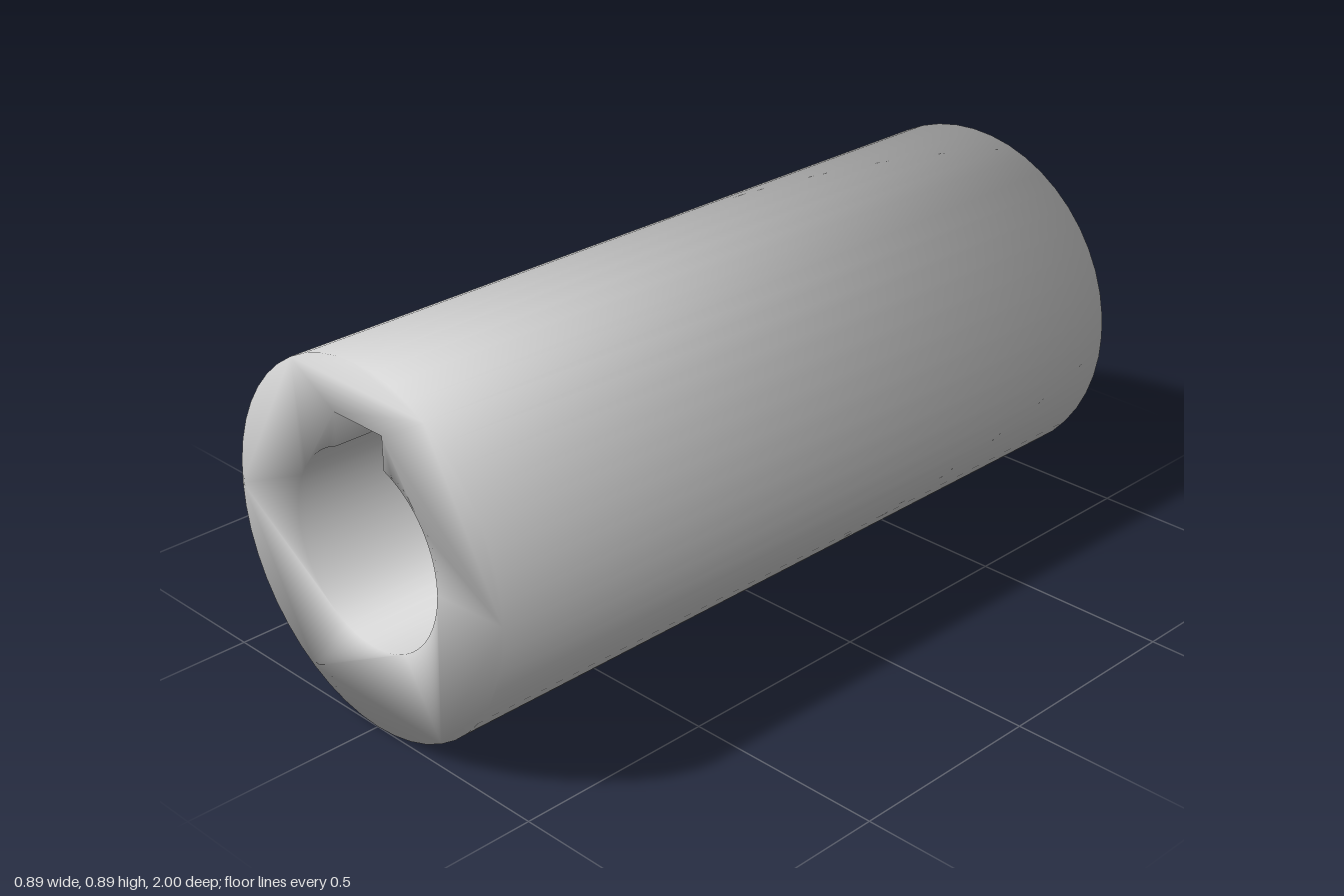
import * as THREE from 'three';
import { mergeGeometries, mergeVertices } from 'three/addons/utils/BufferGeometryUtils.js';

const OUTER = 0.443, BORE = 0.236, SOCKET = 0.147;
const KEY_HALF = 0.08, KEY_TOP = 0.303;
const BORE_FLOOR = -0.1, SOCKET_FLOOR = -0.3;

// Counter-clockwise arc points
function arc(r, from, to, n, closed) {
  const pts = [];
  for (let i = 0; i < (closed ? n : n + 1); i++) {
    const a = from + (to - from) * i / n;
    pts.push(new THREE.Vector2(r * Math.cos(a), r * Math.sin(a)));
  }
  return pts;
}

// Straight wall along z, facing outward for counter-clockwise points
function wall(pts, z0, z1, inward = false) {
  const pos = [], idx = [], n = pts.length;
  for (const p of pts) pos.push(p.x, p.y, z0, p.x, p.y, z1);
  for (let i = 0; i < n; i++) {
    const a = 2 * i, b = 2 * ((i + 1) % n);
    if (inward) idx.push(a, b + 1, b, a, a + 1, b + 1);
    else idx.push(a, b, b + 1, a, b + 1, a + 1);
  }
  const g = new THREE.BufferGeometry();
  g.setAttribute('position', new THREE.Float32BufferAttribute(pos, 3));
  g.setIndex(idx);
  return g;
}

// Flat face at z, optionally holed, facing +z or -z
function cap(pts, z, hole, back = false) {
  const shape = new THREE.Shape(pts);
  if (hole) shape.holes.push(new THREE.Path(hole));
  const g = new THREE.ShapeGeometry(shape);
  g.deleteAttribute('normal');
  g.deleteAttribute('uv');
  g.translate(0, 0, z);
  if (back) g.setIndex(Array.from(g.index.array).reverse());
  return g;
}

// Angle-weighted normals, blended softly across the rims
function softenNormals(g) {
  const p = g.attributes.position, ix = g.index.array;
  const sums = Array.from({ length: p.count }, () => new THREE.Vector3());
  for (let t = 0; t < ix.length; t += 3) {
    const ids = [ix[t], ix[t + 1], ix[t + 2]];
    const v = ids.map(i => new THREE.Vector3().fromBufferAttribute(p, i));
    const n = new THREE.Triangle(...v).getNormal(new THREE.Vector3());
    ids.forEach((id, k) => {
      const e = v[(k + 1) % 3].clone().sub(v[k]);
      const f = v[(k + 2) % 3].clone().sub(v[k]);
      sums[id].addScaledVector(n, e.angleTo(f));
    });
  }
  const out = sums.flatMap(s => s.normalize().toArray());
  g.setAttribute('normal', new THREE.Float32BufferAttribute(out, 3));
  return g;
}

export function createModel() {
  const group = new THREE.Group();
  const outer = arc(OUTER, 0, Math.PI * 2, 48, true);
  const socket = arc(SOCKET, 0, Math.PI * 2, 48, true);

  // Round bore with a square key slot at the top
  const a = Math.acos(KEY_HALF / BORE);
  const bore = arc(BORE, Math.PI - a, Math.PI * 2 + a, 44, false);
  bore.push(new THREE.Vector2(KEY_HALF, KEY_TOP), new THREE.Vector2(-KEY_HALF, KEY_TOP));

  const geometry = mergeVertices(mergeGeometries([
    wall(outer, -1, 1),
    cap(outer, 1, bore),
    wall(bore, BORE_FLOOR, 1, true),
    cap(bore, BORE_FLOOR),
    cap(outer, -1, socket, true),
    wall(socket, -1, SOCKET_FLOOR, true),
    cap(socket, SOCKET_FLOOR, null, true),
  ]));
  const sleeve = new THREE.Mesh(
    softenNormals(geometry),
    new THREE.MeshStandardMaterial({ color: 0xcccccc })
  );
  sleeve.name = 'keyedSleeve';
  sleeve.position.y = OUTER;
  group.add(sleeve);
  return group;
}
